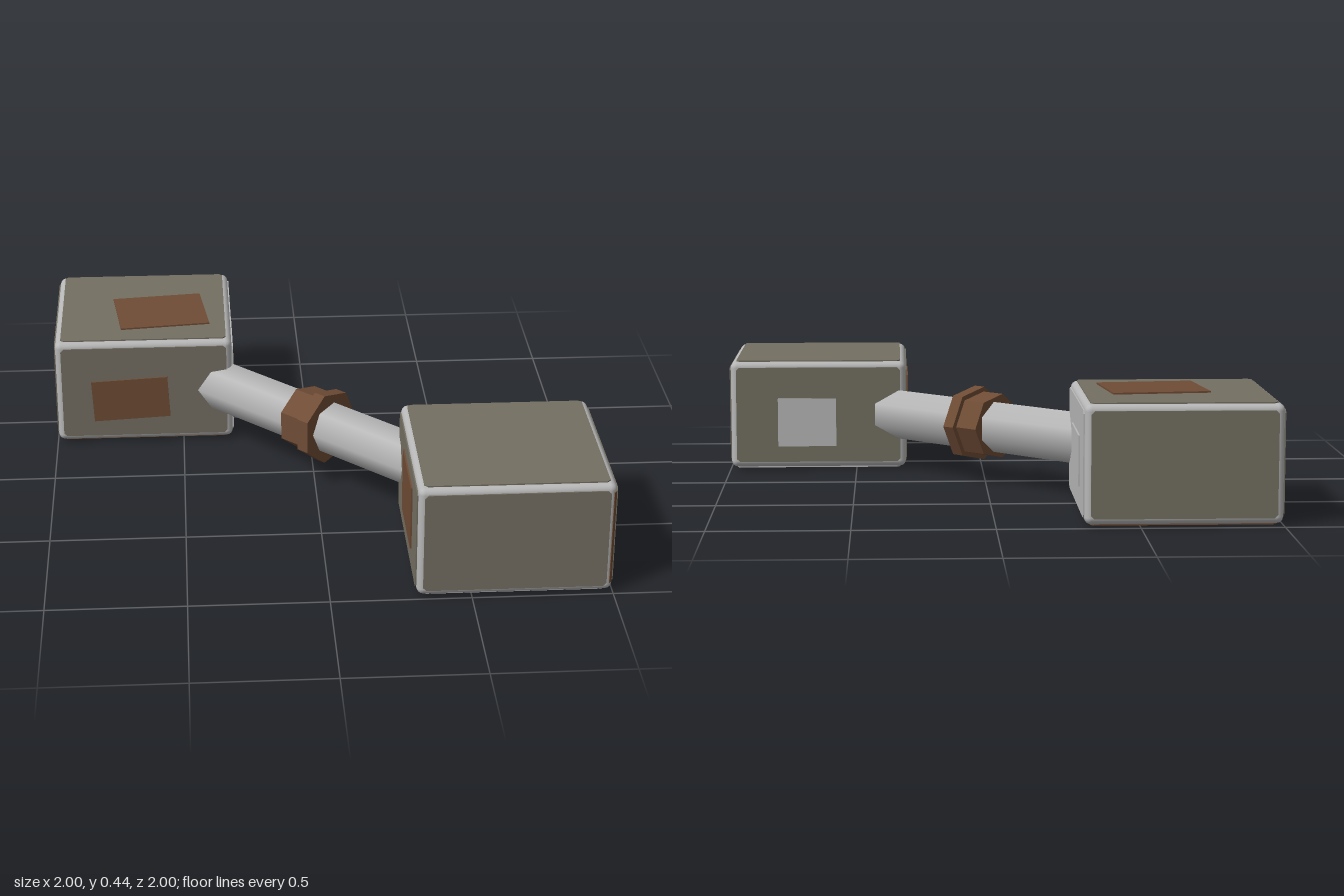
import * as THREE from 'three';
import { RoundedBoxGeometry } from 'three/addons/geometries/RoundedBoxGeometry.js';

const HALF = 0.346;   // half width and depth of a crate
const HALF_Y = 0.21;  // half height of a crate
const MID_Y = 0.22;

const material = (name, color, flatShading = false) => {
  const m = new THREE.MeshStandardMaterial({ color });
  m.name = name;
  m.flatShading = flatShading;
  return m;
};

// rotation and distance of each crate face; local +z points outwards
const FACES = {
  front: { rot: [0, 0, 0], d: HALF, h: HALF_Y },
  back: { rot: [0, Math.PI, 0], d: HALF, h: HALF_Y },
  right: { rot: [0, Math.PI / 2, 0], d: HALF, h: HALF_Y },
  left: { rot: [0, -Math.PI / 2, 0], d: HALF, h: HALF_Y },
  top: { rot: [-Math.PI / 2, 0, 0], d: HALF_Y, h: HALF },
  bottom: { rot: [Math.PI / 2, 0, 0], d: HALF_Y, h: HALF },
};

// flat plate with clipped corners, lying on z = 0
function plate(w, h, clip, depth) {
  const a = w / 2, b = h / 2;
  const pts = [[a - clip, -b], [a, clip - b], [a, b - clip], [a - clip, b],
    [clip - a, b], [-a, b - clip], [-a, clip - b], [clip - a, -b]];
  const shape = new THREE.Shape(pts.map(([x, y]) => new THREE.Vector2(x, y)));
  return new THREE.ExtrudeGeometry(shape, { depth, bevelEnabled: false });
}

function mesh(name, geometry, mat) {
  const m = new THREE.Mesh(geometry, mat);
  m.name = name;
  return m;
}

// framed crate: one panel on each face, plus patches on some of them
function crate(name, frameMat, panelMats, patches) {
  const g = new THREE.Group();
  g.name = name;
  g.add(mesh('frame', new RoundedBoxGeometry(HALF * 2, HALF_Y * 2, HALF * 2, 2, 0.025), frameMat));
  for (const [side, { rot, d, h }] of Object.entries(FACES)) {
    const face = new THREE.Group();
    face.name = side + 'Face';
    face.rotation.set(...rot);
    const panel = mesh('panel', plate(HALF * 2 - 0.044, h * 2 - 0.044, 0.012, 0.006), panelMats[side] || panelMats.all);
    panel.position.z = d - 0.002;
    face.add(panel);
    const p = patches[side];
    if (p) {
      const patch = mesh('patch', new THREE.BoxGeometry(p.w, p.h, 0.007), p.mat);
      patch.position.set(p.u, p.v, d + 0.0065);
      patch.rotation.z = THREE.MathUtils.degToRad(p.turn || 0);
      face.add(patch);
    }
    g.add(face);
  }
  return g;
}

// seven-sided tube part along local z; side = +1 or -1 puts a corner at +x or -x
function tubePart(name, radius, from, to, side, mat) {
  const geo = new THREE.CylinderGeometry(radius, radius, to - from, 7);
  geo.rotateY(side * Math.PI / 2).rotateX(Math.PI / 2).translate(0, 0, (from + to) / 2);
  return mesh(name, geo, mat);
}

export function createModel() {
  const olive = material('olive panel', 0x746f62);
  const grey = material('light grey metal', 0xb8b8b8);
  const rust = material('rust brown', 0x6f4c35, true);

  const model = new THREE.Group();
  model.name = 'linkedCrates';

  const rearCrate = crate('rearCrate', grey, { all: olive, right: grey, bottom: rust }, {
    top: { u: 0.07, v: -0.06, w: 0.352, h: 0.302, turn: 6.5, mat: rust },
    front: { u: -0.055, v: -0.03, w: 0.3, h: 0.17, turn: 3, mat: rust },
    right: { u: 0.02, v: -0.01, w: 0.33, h: 0.18, mat: grey },
  });
  rearCrate.position.set(-0.65, MID_Y, -0.65);

  const frontCrate = crate('frontCrate', grey, { all: olive, bottom: grey }, {
    bottom: { u: -0.015, v: 0.06, w: 0.34, h: 0.25, mat: grey },
    back: { u: -0.045, v: -0.03, w: 0.23, h: 0.19, mat: grey },
    left: { u: 0.025, v: 0.01, w: 0.31, h: 0.24, mat: rust },
  });
  frontCrate.position.set(0.65, MID_Y, 0.65);

  // worn strip on the outer upright edge
  const strip = mesh('edgeStrip', new THREE.BoxGeometry(0.012, 0.36, 0.004), rust);
  strip.position.set(HALF - 0.0073, 0, HALF - 0.0073);
  strip.rotation.y = Math.PI / 4;
  frontCrate.add(strip);

  // diagonal pipe with a stepped collar
  const link = new THREE.Group();
  link.name = 'link';
  link.position.y = MID_Y;
  link.rotation.y = Math.PI / 4;
  link.add(
    tubePart('pipe', 0.099, -0.62, 0.62, -1, grey),
    tubePart('collarSleeve', 0.126, -0.065, 0.036, 1, rust),
    tubePart('collarFlange', 0.145, 0.035, 0.085, 1, rust),
  );

  model.add(rearCrate, frontCrate, link);
  return model;
}
